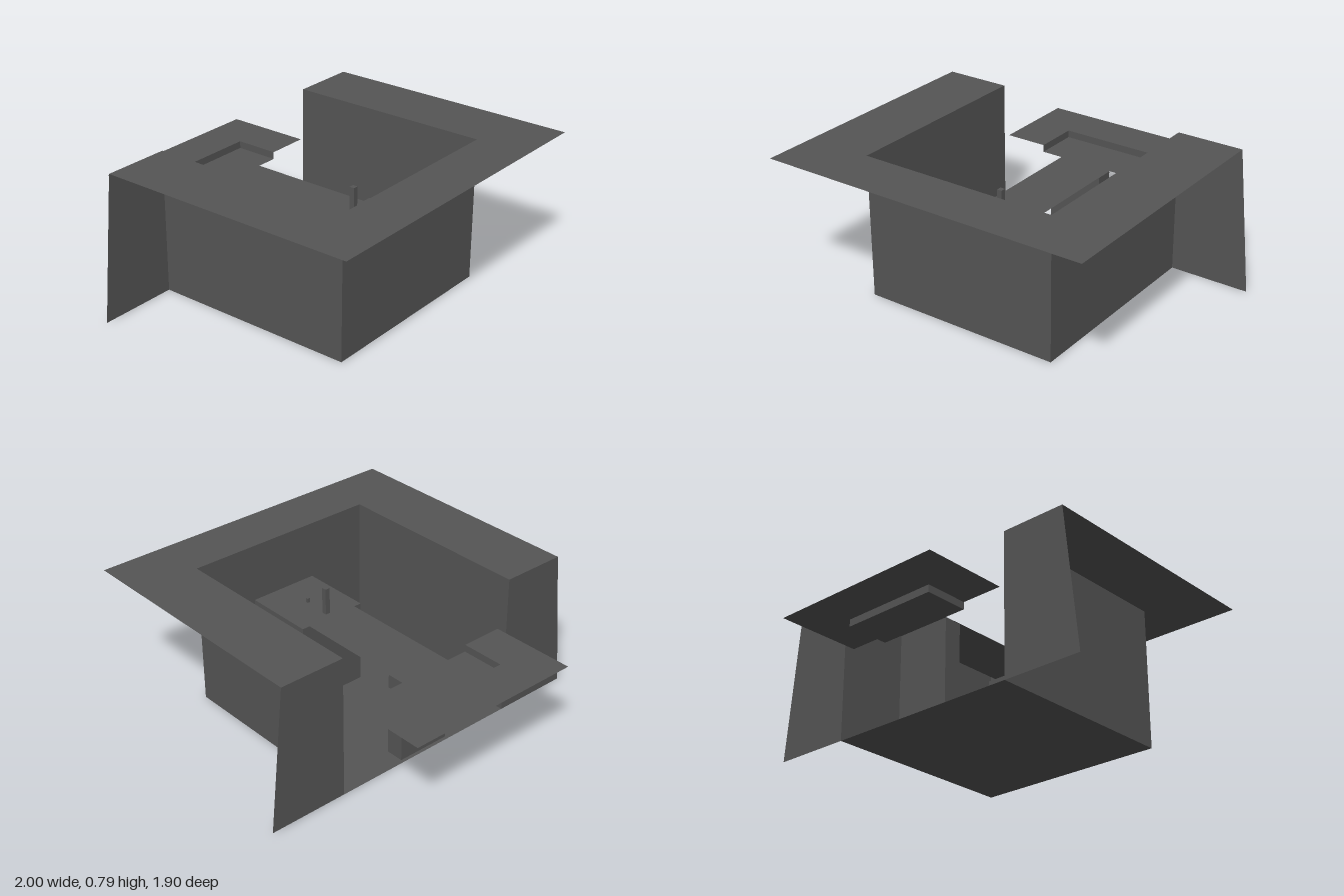
import * as THREE from 'three';

export function createModel() {
  const model = new THREE.Group();
  const grey = new THREE.MeshStandardMaterial({ color: 0x555555, side: THREE.DoubleSide });
  grey.name = 'dark grey';

  const add = (name, geometry) => {
    const mesh = new THREE.Mesh(geometry, grey);
    mesh.name = name;
    model.add(mesh);
    return mesh;
  };
  const outline = (points) => new THREE.Shape(points.map(([x, y]) => new THREE.Vector2(x, y)));

  // Horizontal sheet from [x, z] points at height y, facing up
  const sheet = (name, y, points) => {
    const g = new THREE.ShapeGeometry(outline(points.map(([x, z]) => [x, -z])));
    return add(name, g.rotateX(-Math.PI / 2).translate(0, y, 0));
  };
  // Vertical sheet between two [x, z] points
  const wall = (name, [x0, z0], [x1, z1], y0, y1) => {
    const g = new THREE.BufferGeometry();
    g.setAttribute('position', new THREE.Float32BufferAttribute(
      [x0, y0, z0, x1, y0, z1, x1, y1, z1, x0, y1, z0], 3));
    g.setIndex([0, 1, 2, 0, 2, 3]);
    g.computeVertexNormals();
    return add(name, g);
  };
  const box = (name, x, y0, y1, z0, z1) =>
    add(name, new THREE.BoxGeometry(2 * x, y1 - y0, z1 - z0)
      .translate(0, (y0 + y1) / 2, (z0 + z1) / 2));

  const top = 0.79, w = 0.555, back = -0.49, front = 0.65;
  const deck = 0.47, ledge = 0.51;

  // Open pit: floor, front and side walls
  sheet('floor', 0, [[-w, back], [w, back], [w, front], [-w, front]]);
  wall('frontWall', [-w, front], [w, front], 0, top);
  wall('leftWall', [w, front], [w, back], 0, top);
  wall('rightWall', [-w, back], [-w, front], 0, top);

  // Ground surface around the pit
  sheet('topSurround', top, [[-0.92, back], [-w, back], [-w, front], [w, front],
    [w, back], [0.92, back], [0.92, 0.95], [-0.92, 0.95]]);

  // Sloped-edge wings at the back
  for (const s of [-1, 1]) {
    const g = new THREE.ShapeGeometry(outline([[s * w, 0], [s, 0], [s * 0.92, top], [s * w, top]]));
    g.rotateY(Math.PI).scale(-1, 1, 1).translate(0, 0, back);
    // Rebuild winding so the wings face backwards
    g.index.array.reverse();
    g.computeVertexNormals();
    add(s > 0 ? 'leftWing' : 'rightWing', g);
  }

  // Sunken landing and bridge
  sheet('bridgeDeck', deck, [[-0.275, -0.715], [0.275, -0.715], [0.275, -0.47], [0.155, -0.47],
    [0.155, 0.24], [-0.155, 0.24], [-0.155, -0.47], [-0.275, -0.47]]);
  wall('landingBackStep', [0.275, -0.715], [-0.275, -0.715], deck, ledge);
  wall('landingLeftStep', [0.275, -0.47], [0.275, -0.715], deck, ledge);
  wall('landingRightStep', [-0.275, -0.715], [-0.275, -0.47], deck, ledge);

  // Raised terrace around the landing
  sheet('terrace', ledge, [[-0.51, -0.95], [0.51, -0.95], [0.51, -0.47], [0.275, -0.47],
    [0.275, -0.715], [-0.275, -0.715], [-0.275, -0.47], [-0.51, -0.47]]);

  // Supports and platform fittings
  box('bridgePier', 0.155, 0, deck - 0.002, -0.47, -0.37);
  box('platform', 0.2, 0, deck, 0.24, 0.645);
  box('platformPost', 0.014, deck, 0.62, 0.275, 0.303);
  box('platformStud', 0.008, deck, 0.495, 0.432, 0.448);

  return model;
}
